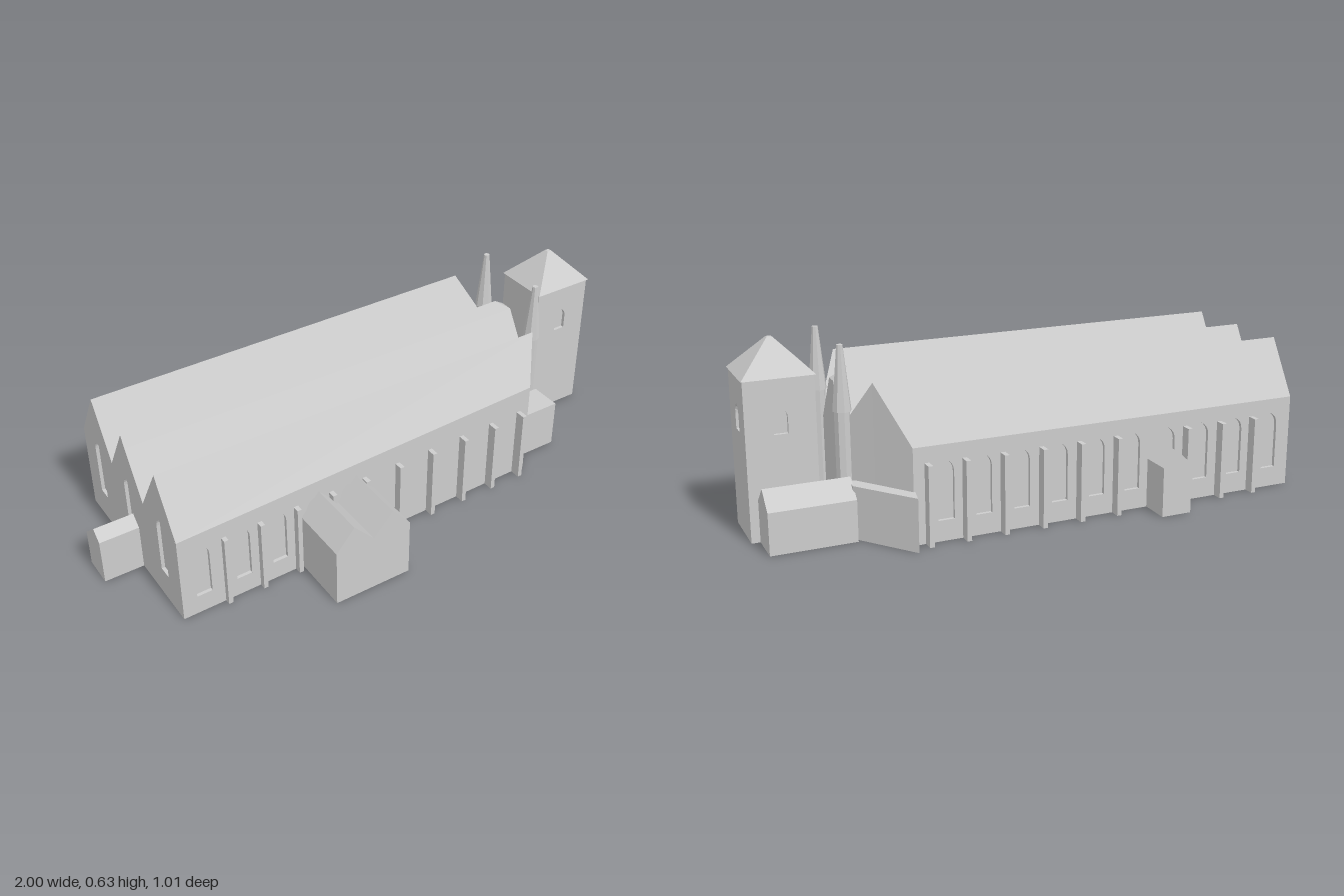
import * as THREE from 'three';
import { mergeGeometries } from 'three/addons/utils/BufferGeometryUtils.js';

const stone = new THREE.MeshStandardMaterial({ color: 0xcccccc, flatShading: true });
stone.name = 'pale stone';

const RECESS = 0.012;
const BUTTRESSES = [-0.7, -0.57, -0.435, -0.3, -0.17, -0.035, 0.1, 0.235, 0.365, 0.49];
const BAYS = [-0.78, -0.635, -0.5, -0.368, -0.235, -0.102, 0.033, 0.168, 0.3, 0.428];

function add(parent, name, geometry) {
  const mesh = new THREE.Mesh(geometry, stone);
  mesh.name = name;
  parent.add(mesh);
  return mesh;
}

const toShape = (pts) => new THREE.Shape(pts.map(([u, v]) => new THREE.Vector2(u, v)));

// Box given by its limits
function box(parent, name, x0, x1, y0, y1, z0, z1) {
  const g = new THREE.BoxGeometry(x1 - x0, y1 - y0, z1 - z0);
  g.translate((x0 + x1) / 2, (y0 + y1) / 2, (z0 + z1) / 2);
  return add(parent, name, g);
}

// Pointed-arch window opening
function lancet(u, y0, y1, w) {
  const p = new THREE.Path();
  const spring = y1 - w * 0.8;
  p.moveTo(u - w / 2, y0);
  p.lineTo(u + w / 2, y0);
  p.lineTo(u + w / 2, spring);
  p.quadraticCurveTo(u + w / 2, y1 - w * 0.25, u, y1);
  p.quadraticCurveTo(u - w / 2, y1 - w * 0.25, u - w / 2, spring);
  p.closePath();
  return p;
}

// Wall slab facing local +z, with recessed windows and a backing face
function panel(parent, name, outline, windows, x, z, angle) {
  const shape = toShape(outline);
  shape.holes.push(...windows);
  const slab = new THREE.ExtrudeGeometry(shape, { depth: RECESS, bevelEnabled: false, curveSegments: 4 });
  slab.translate(0, 0, -RECESS);
  const back = new THREE.ShapeGeometry(toShape(outline)).toNonIndexed();
  back.translate(0, 0, -RECESS);
  const mesh = add(parent, name, mergeGeometries([slab, back]));
  mesh.position.set(x, 0, z);
  mesh.rotation.y = angle;
  return mesh;
}

// Cross-section (x, y) pushed along z
function alongZ(parent, name, pts, z0, z1) {
  const g = new THREE.ExtrudeGeometry(toShape(pts), { depth: z1 - z0, bevelEnabled: false });
  g.translate(0, 0, z0);
  return add(parent, name, g);
}

// Cross-section (z, y) pushed along x
function alongX(parent, name, pts, x0, x1) {
  const g = new THREE.ExtrudeGeometry(toShape(pts.map(([z, y]) => [-z, y])), { depth: x1 - x0, bevelEnabled: false });
  g.rotateY(Math.PI / 2);
  g.translate(x0, 0, 0);
  return add(parent, name, g);
}

// Ground plan (x, z) raised to a height
function plan(parent, name, pts, height) {
  const g = new THREE.ExtrudeGeometry(toShape(pts.map(([x, z]) => [x, -z])), { depth: height, bevelEnabled: false });
  g.rotateX(-Math.PI / 2);
  return add(parent, name, g);
}

function nave(root) {
  const group = new THREE.Group();
  group.name = 'nave';
  root.add(group);
  const west = -0.86;
  // Roof profile, front to back: west z, west y, east x, east z, east y
  const profile = [
    [0.3, 0.32, 0.535, 0.28, 0.353],
    [0.185, 0.508, 0.608, 0.185, 0.508],
    [0.085, 0.345, 0.685, 0.085, 0.345],
    [0.065, 0.312, 0.685, 0.065, 0.312],
    [-0.032, 0.47, 0.685, -0.032, 0.47],
    [-0.055, 0.508, 0.63, -0.055, 0.508],
    [-0.078, 0.47, 0.685, -0.078, 0.47],
    [-0.17, 0.32, 0.685, -0.17, 0.32],
    [-0.2, 0.369, 0.685, -0.2, 0.369],
    [-0.285, 0.508, 0.62, -0.285, 0.508],
    [-0.4, 0.32, 0.535, -0.4, 0.32],
  ];
  const W = (p) => [west, p[1], p[0]];
  const E = (p) => [p[2], p[4], p[3]];
  const ground = (v) => [v[0], 0, v[2]];
  const build = (name, tris) => {
    const g = new THREE.BufferGeometry();
    g.setAttribute('position', new THREE.Float32BufferAttribute(tris.flat(), 3));
    g.computeVertexNormals();
    add(group, name, g);
  };
  const quad = (list, a, b, c, d) => list.push(a, b, c, a, c, d);

  const roof = [], floor = [], east = [];
  for (let i = 0; i < profile.length - 1; i++) {
    const p = profile[i], q = profile[i + 1];
    quad(roof, W(p), E(p), E(q), W(q));
    quad(floor, ground(W(p)), ground(W(q)), ground(E(q)), ground(E(p)));
  }
  // Clipped hip on the middle ridge
  roof.push(E(profile[4]), E(profile[6]), E(profile[5]));
  const walls = profile.filter((_, i) => i !== 5);
  for (let i = 0; i < walls.length - 1; i++) {
    const p = E(walls[i]), q = E(walls[i + 1]);
    quad(east, ground(p), ground(q), q, p);
  }
  build('threeRidgedRoof', roof);
  build('naveFloor', floor);
  build('angledEastWalls', east);

  // Windowed walls: west gables, back side and slightly slanted front side
  const gable = profile.map((p) => [p[0], p[1]]);
  panel(group, 'westGables', [[-0.4, 0], [0.3, 0], ...gable],
    [0.185, -0.055, -0.285].map((z) => lancet(z, 0.11, 0.33, 0.05)), west, 0, -Math.PI / 2);
  panel(group, 'backWall', [[-0.535, 0], [0.86, 0], [0.86, 0.32], [-0.535, 0.32]],
    BAYS.map((x) => lancet(-x, 0.07, 0.27, 0.055)), 0, -0.4, Math.PI);
  const length = Math.hypot(1.395, 0.02);
  panel(group, 'frontWall', [[0, 0], [length, 0], [length, 0.353], [0, 0.32]],
    BAYS.slice(0, 5).map((x) => lancet(x - west, 0.07, 0.27, 0.055)), west, 0.3, Math.atan2(0.02, 1.395));

  for (const x of BUTTRESSES) {
    box(group, 'frontButtress', x - 0.008, x + 0.008, 0, 0.267, 0.27, 0.318);
    if (x !== -0.3) box(group, 'backButtress', x - 0.008, x + 0.008, 0, 0.267, -0.436, -0.395);
  }
}

function tower(root) {
  const group = new THREE.Group();
  group.name = 'tower';
  group.position.set(0.8825, 0, -0.073);
  root.add(group);
  const hx = 0.113, hz = 0.1, h = 0.525;
  const sides = [['Front', hx, 0, hz, 0], ['East', hz, hx, 0, Math.PI / 2],
    ['Back', hx, 0, -hz, Math.PI], ['West', hz, -hx, 0, -Math.PI / 2]];
  for (const [side, half, x, z, angle] of sides) {
    const windows = side === 'West' ? [] : [lancet(0, 0.345, 0.432, 0.046)];
    panel(group, 'tower' + side + 'Wall', [[-half, 0], [half, 0], [half, h], [-half, h]], windows, x, z, angle);
  }
  box(group, 'towerFloor', -hx + 0.005, hx - 0.005, 0, 0.02, -hz + 0.005, hz - 0.005);
  const roof = new THREE.CylinderGeometry(0.07 * Math.SQRT2, Math.SQRT2, 0.11, 4);
  roof.rotateY(Math.PI / 4);
  roof.scale(0.1175, 1, 0.106);
  roof.translate(0, h + 0.055, 0);
  add(group, 'towerRoof', roof);
}

export function createModel() {
  const root = new THREE.Group();
  root.name = 'church';
  nave(root);
  tower(root);

  // Slender octagonal turrets with spires
  for (const z of [0.084, -0.197]) {
    const turret = new THREE.Group();
    turret.name = 'turret';
    turret.position.set(0.694, 0, z);
    add(turret, 'turretShaft', new THREE.CylinderGeometry(0.026, 0.026, 0.405, 8).translate(0, 0.2025, 0));
    add(turret, 'turretSpire', new THREE.CylinderGeometry(0.01, 0.031, 0.212, 8).translate(0, 0.511, 0));
    root.add(turret);
  }

  // Porches and side buildings
  alongZ(root, 'frontDoublePorch', [[-0.415, 0], [-0.135, 0], [-0.135, 0.21], [-0.202, 0.29],
    [-0.275, 0.21], [-0.348, 0.29], [-0.415, 0.21]], 0.275, 0.505);
  alongZ(root, 'backPorch', [[-0.4, 0], [-0.293, 0], [-0.293, 0.17], [-0.346, 0.22], [-0.4, 0.17]], -0.507, -0.395);
  alongX(root, 'westPorch', [[0.003, 0], [0.003, 0.167], [-0.035, 0.2], [-0.108, 0.135], [-0.108, 0]], -1, -0.855);
  alongX(root, 'eastAnnex', [[-0.172, 0], [-0.172, 0.14], [-0.232, 0.197], [-0.296, 0.14], [-0.296, 0]], 0.685, 0.967);
  plan(root, 'cornerRoom', [[0.575, 0.224], [0.72, 0.224], [0.72, 0.11], [0.66, 0.11]], 0.178);
  plan(root, 'backPassage', [[0.53, -0.4], [0.542, -0.46], [0.69, -0.27], [0.69, -0.22], [0.66, -0.22]], 0.178);
  return root;
}
